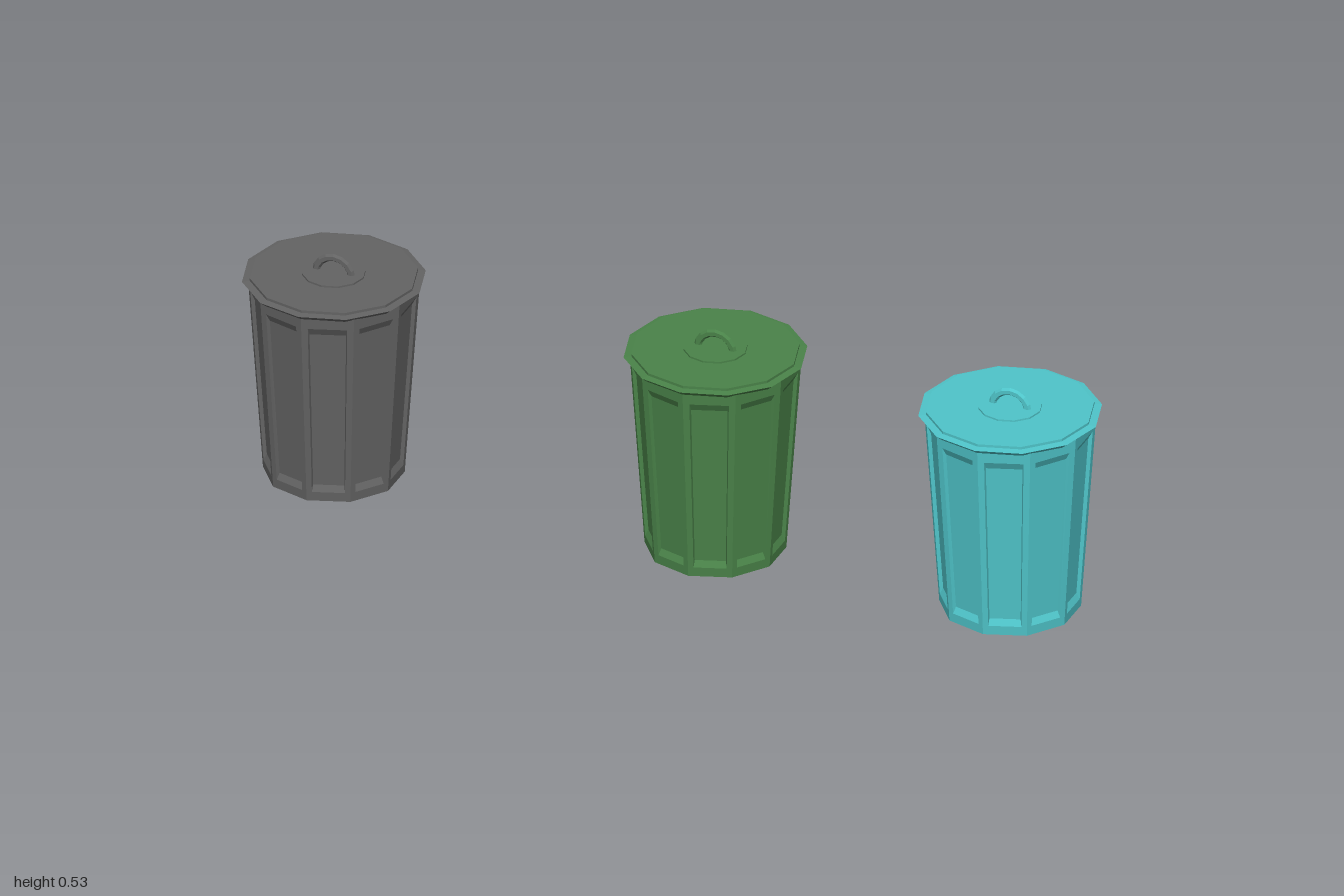
import * as THREE from 'three';

const SIDES = 10;
const BODY_TOP = 0.474;
const radiusAt = (y) => 0.155 + 0.0705 * y;

// Tapered ten-sided body with a recessed panel in every face
function bodyGeometry() {
  const pos = [];
  const half = Math.PI / SIDES;
  const quad = (a, b, c, d) => [a, b, c, a, c, d].forEach((p) => pos.push(p.x, p.y, p.z));
  for (let k = 0; k < SIDES; k++) {
    const angle = (2 * k + 1) * half;
    const normal = new THREE.Vector3(Math.sin(angle), 0, Math.cos(angle));
    const tangent = new THREE.Vector3(Math.cos(angle), 0, -Math.sin(angle));
    const point = (side, y, width, depth) => new THREE.Vector3(0, y, 0)
      .addScaledVector(normal, radiusAt(y) * Math.cos(half) - depth)
      .addScaledVector(tangent, side * width * radiusAt(y) * Math.sin(half));
    // Counter-clockwise rectangle on this face
    const ring = (y0, y1, width, depth) => [
      point(-1, y0, width, depth), point(1, y0, width, depth),
      point(1, y1, width, depth), point(-1, y1, width, depth)];
    const rings = [
      ring(0, BODY_TOP, 1, 0),
      ring(0.022, 0.441, 0.75, 0),
      ring(0.037, 0.423, 0.7, 0.008)];
    for (let r = 0; r < 2; r++) {
      for (let i = 0; i < 4; i++) {
        const j = (i + 1) % 4;
        quad(rings[r][i], rings[r][j], rings[r + 1][j], rings[r + 1][i]);
      }
    }
    quad(...rings[2]);
    // Wedge of the floor
    const [a, b] = rings[0];
    pos.push(0, 0, 0, b.x, 0, b.z, a.x, 0, a.z);
  }
  const geo = new THREE.BufferGeometry();
  geo.setAttribute('position', new THREE.Float32BufferAttribute(pos, 3));
  geo.computeVertexNormals();
  return geo;
}

function createCan(color, name) {
  const can = new THREE.Group();
  can.name = name;
  const material = new THREE.MeshStandardMaterial({ color, flatShading: true });
  const add = (geo, part) => {
    const mesh = new THREE.Mesh(geo, material);
    mesh.name = part;
    can.add(mesh);
    return mesh;
  };

  add(bodyGeometry(), 'body');

  // Lid with a flared lip and a raised top
  const profile = [[0, 0.466], [0.188, 0.466], [0.202, 0.478], [0.185, 0.48], [0.185, 0.486], [0, 0.486]]
    .map(([r, y]) => new THREE.Vector2(r, y));
  add(new THREE.LatheGeometry(profile, 12), 'lid');

  // Disc under the handle
  add(new THREE.CylinderGeometry(0.07, 0.07, 0.008, 12), 'handlePlate').position.y = 0.486;

  // Arched handle
  const handle = add(new THREE.TorusGeometry(0.042, 0.009, 6, 8, Math.PI), 'handle');
  handle.position.y = 0.482;
  handle.scale.z = 0.75;
  return can;
}

export function createModel() {
  const model = new THREE.Group();
  model.name = 'trashCans';
  [[-0.8, 0x636363, 'greyCan'], [0.1, 0x4a8349, 'greenCan'], [0.795, 0x4fc5ca, 'turquoiseCan']]
    .forEach(([x, color, name]) => {
      const can = createCan(color, name);
      can.position.x = x;
      model.add(can);
    });
  return model;
}
